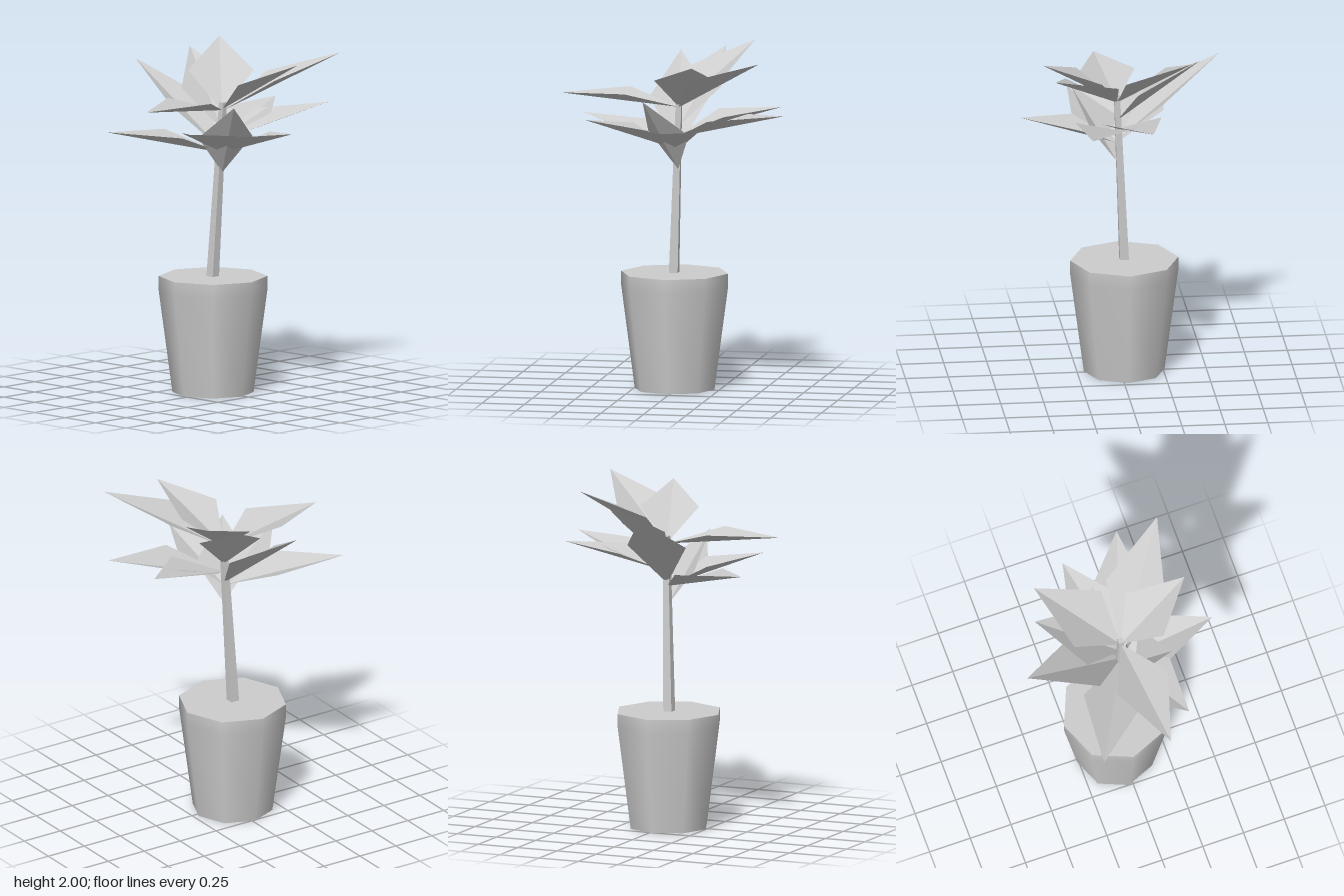
import * as THREE from 'three';

// One plain grey; leaves are open surfaces, so it is double sided
const grey = new THREE.MeshStandardMaterial({ color: 0xcccccc, side: THREE.DoubleSide });
grey.name = 'plain grey';

function part(name, geometry, parent) {
  const mesh = new THREE.Mesh(geometry, grey);
  mesh.name = name;
  parent.add(mesh);
  return mesh;
}

function flat(geometry) {
  const g = geometry.index ? geometry.toNonIndexed() : geometry;
  g.computeVertexNormals();
  return g;
}

// Kite-shaped leaf folded up along its midrib
function leafGeometry(base, tip, halfWidth) {
  const rib = tip.clone().sub(base);
  const across = new THREE.Vector3(-rib.z, 0, rib.x).normalize();
  const lift = new THREE.Vector3().crossVectors(rib, across).normalize();
  if (lift.y < 0) lift.negate();
  const middle = base.clone().addScaledVector(rib, 0.44).addScaledVector(lift, 0.06);
  const right = middle.clone().addScaledVector(across, halfWidth);
  const left = middle.clone().addScaledVector(across, -halfWidth);
  const g = new THREE.BufferGeometry().setFromPoints([base, tip, left, base, right, tip]);
  return flat(g);
}

export function createModel() {
  const model = new THREE.Group();
  model.name = 'pottedPlant';

  // Eight-sided pot with a straight rim, filled with soil
  const pot = new THREE.Group();
  pot.name = 'pot';
  pot.position.set(-0.025, 0, 0.015);
  model.add(pot);
  const profile = [[0.235, 0], [0.315, 0.6], [0.315, 0.68]].map(p => new THREE.Vector2(...p));
  part('potWall', new THREE.LatheGeometry(profile, 8), pot);
  const soil = part('soil', new THREE.CircleGeometry(0.315, 8), pot);
  soil.rotation.x = -Math.PI / 2;
  soil.position.y = 0.68;
  const bottom = part('potBottom', new THREE.CircleGeometry(0.235, 8), pot);
  bottom.rotation.x = Math.PI / 2;

  // Square, tapering stem that leans slightly
  const height = 1.03;
  const stem = new THREE.CylinderGeometry(0.016 * Math.SQRT2, 0.026 * Math.SQRT2, height, 4, 1);
  stem.rotateY(Math.PI / 4);
  stem.translate(0, height / 2, 0);
  const pos = stem.attributes.position;
  for (let i = 0; i < pos.count; i++) {
    const t = pos.getY(i) / height;
    pos.setX(i, pos.getX(i) - 0.025 + 0.046 * t);
    pos.setZ(i, pos.getZ(i) + 0.018 - 0.038 * t);
  }
  stem.translate(0, 0.67, 0);
  part('stem', flat(stem), model);

  // Leaves: tip x, y, z, height of the base on the stem, half width
  const leaves = [
    [0.275, 1.715, 0.145, 1.29, 0.16],
    [0.585, 1.58, -0.02, 1.405, 0.155],
    [0.26, 1.60, 0.49, 1.405, 0.17],
    [-0.305, 1.56, 0.605, 1.405, 0.175],
    [-0.59, 1.90, 0.085, 1.42, 0.175],
    [0.23, 1.65, -0.68, 1.48, 0.19],
    [-0.13, 1.65, -0.60, 1.49, 0.18],
    [-0.44, 1.955, -0.21, 1.54, 0.18],
    [0.47, 1.95, -0.18, 1.66, 0.17],
    [0.44, 1.98, -0.57, 1.65, 0.18],
    [-0.38, 2.0, -0.39, 1.65, 0.19],
    [0.083, 1.73, 0.67, 1.655, 0.163],
  ];
  const crown = new THREE.Group();
  crown.name = 'leaves';
  model.add(crown);
  leaves.forEach(([x, y, z, baseY, w], i) => {
    const base = new THREE.Vector3(0.02, baseY, -0.015);
    part(`leaf${i + 1}`, leafGeometry(base, new THREE.Vector3(x, y, z), w), crown);
  });

  return model;
}
